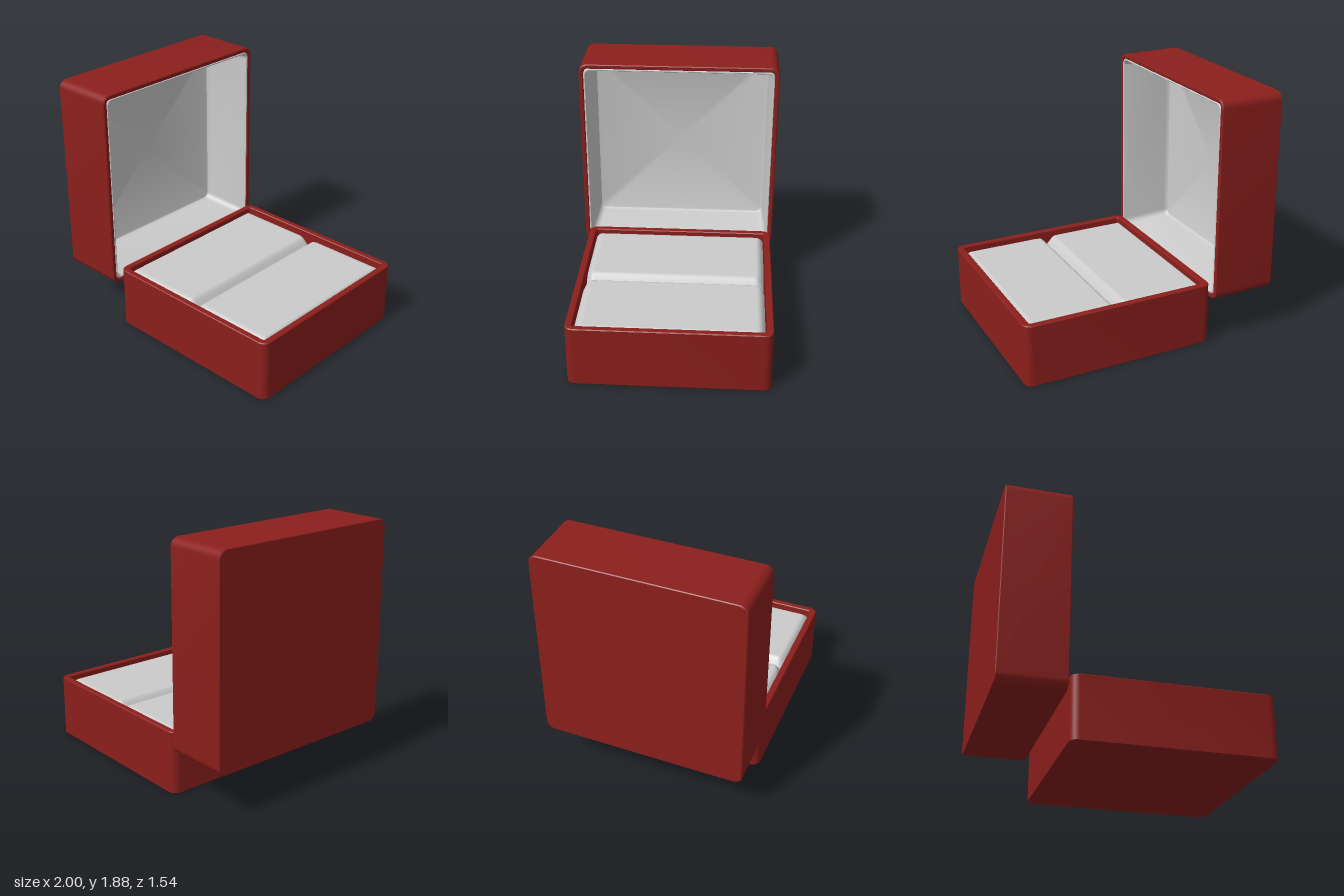
import * as THREE from 'three';
import { toCreasedNormals } from 'three/addons/utils/BufferGeometryUtils.js';

const red = new THREE.MeshStandardMaterial({ color: 0x8b1f1c });
const grey = new THREE.MeshStandardMaterial({ color: 0xcccccc });

// Points of a rounded square, counterclockwise from above
function roundedSquare(half, radius) {
  const r = Math.min(radius, half), pts = [], n = 8;
  for (let c = 0; c < 4; c++) {
    const cx = (c === 0 || c === 3 ? 1 : -1) * (half - r);
    const cz = (c < 2 ? -1 : 1) * (half - r);
    for (let i = 0; i <= n; i++) {
      const a = (c + i / n) * Math.PI / 2;
      pts.push([cx + r * Math.cos(a), cz - r * Math.sin(a)]);
    }
  }
  return pts;
}

// Skin over rounded squares, one per profile entry [half, y, corner radius]
function loft(profile) {
  const pos = [], idx = [];
  const rings = profile.map(([half, , r]) => roundedSquare(half, r));
  const n = rings[0].length;
  rings.forEach((ring, j) => ring.forEach(([x, z]) => pos.push(x, profile[j][1], z)));
  for (let j = 0; j < rings.length - 1; j++) {
    for (let i = 0; i < n; i++) {
      const k = (i + 1) % n, a = j * n + i, b = j * n + k;
      if (profile[j][0] > 0) idx.push(a, b, a + n);
      if (profile[j + 1][0] > 0) idx.push(b, b + n, a + n);
    }
  }
  const geo = new THREE.BufferGeometry();
  geo.setAttribute('position', new THREE.Float32BufferAttribute(pos, 3));
  geo.setIndex(idx);
  return toCreasedNormals(geo, 0.6);
}

function part(name, geometry, material) {
  const mesh = new THREE.Mesh(geometry, material);
  mesh.name = name;
  return mesh;
}

// Open box: bottom, outer wall, rim, inner wall and floor
function shell(half, height, wall, floor, r) {
  const e = 0.006, inner = half - wall, ri = Math.max(r - wall, 0.02);
  return loft([
    [0, 0, 0], [half - e, 0, r], [half, e, r],
    [half, height - e, r], [half - e, height, r],
    [inner + e, height, ri], [inner, height - e, ri],
    [inner, floor, ri], [0, floor, 0],
  ]);
}

// Padded insert with rolled edges and a ring slot that flares at both ends
function cushionGeometry(half) {
  const geo = new THREE.PlaneGeometry(half * 2, half * 2, 110, 80).rotateX(-Math.PI / 2);
  const p = geo.attributes.position;
  const roll = (d, w) => Math.pow(Math.max(0, 1 - d / w), 2);
  for (let i = 0; i < p.count; i++) {
    const x = p.getX(i), z = p.getZ(i);
    const dx = half - Math.abs(x), dz = half - Math.abs(z);
    const slotWidth = 0.06 + 0.07 * Math.max(0, 1 - dz / 0.05);
    const slot = 0.07 * Math.pow(Math.max(0, 1 - Math.abs(x) / slotWidth), 1.4);
    const drop = Math.max(0.05 * roll(dz, 0.05), 0.05 * roll(dx, 0.025));
    p.setY(i, 0.452 - drop - slot);
  }
  geo.computeVertexNormals();
  return geo;
}

export function createModel() {
  const model = new THREE.Group();

  // Base with its cushion
  const base = new THREE.Group();
  base.name = 'base';
  base.position.set(0.26, 0, -0.0165);
  base.add(part('baseShell', shell(0.739, 0.478, 0.05, 0.05, 0.06), red));
  const cushion = part('cushion', cushionGeometry(0.684), grey);
  cushion.position.x = -0.007;
  base.add(cushion);

  // Lid standing on its side, its opening towards the base
  const lid = new THREE.Group();
  lid.name = 'lid';
  lid.position.set(-0.997, 1.1125, -0.0025);
  lid.rotation.z = -Math.PI / 2 - 0.004;
  lid.add(part('lidShell', shell(0.7725, 0.495, 0.034, 0.03, 0.065), red));

  // Lid lining: lip, tapering walls and a softly rounded floor
  lid.add(part('lidLining', loft([
    [0.738, 0.44, 0.045], [0.738, 0.488, 0.045], [0.734, 0.493, 0.045],
    [0.727, 0.493, 0.045], [0.722, 0.486, 0.045],
    [0.700, 0.11, 0.05], [0.697, 0.09, 0.05], [0.689, 0.077, 0.045],
    [0.676, 0.072, 0.04], [0, 0.072, 0],
  ]), grey));

  model.add(base, lid);
  return model;
}
